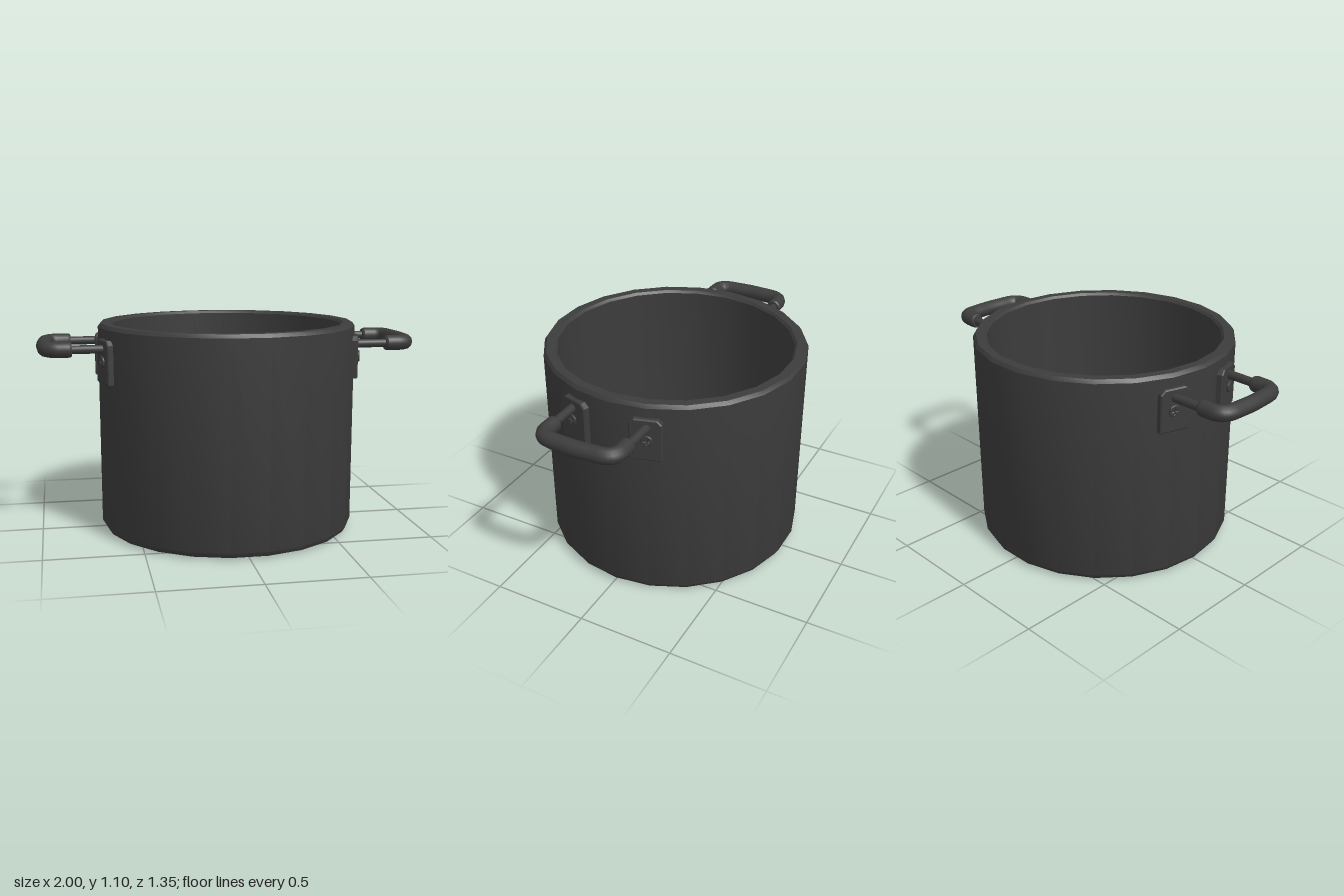
import * as THREE from 'three';
import { toCreasedNormals } from 'three/addons/utils/BufferGeometryUtils.js';

const dark = new THREE.MeshStandardMaterial({ color: 0x3c3c3c });
const SIDES = 22;
const STEP = (Math.PI * 2) / SIDES;
const HANDLE_Y = 0.99;
const ROD_Z = 0.2;

function part(name, geometry, parent) {
  const mesh = new THREE.Mesh(geometry, dark);
  mesh.name = name;
  parent.add(mesh);
  return mesh;
}

// Outer wall, rim and inside in one turned profile
function potBody() {
  const profile = [
    [0, 0], [0.635, 0], [0.665, 0.01], [0.68, 0.035],
    [0.68, 1.085], [0.667, 1.103], [0.622, 1.103], [0.61, 1.09],
    [0.61, 0.075], [0.59, 0.05], [0, 0.05],
  ].map(([r, y]) => new THREE.Vector2(r, y));
  return toCreasedNormals(new THREE.LatheGeometry(profile, SIDES, Math.PI / 2), 0.6);
}

// Upright plate with clipped top corners, facing +z
function plateGeometry() {
  const w = 0.075, c = 0.02;
  const shape = new THREE.Shape([
    [-w, 0.82], [w, 0.82], [w, 1.03 - c], [w - c, 1.03], [c - w, 1.03], [-w, 1.03 - c],
  ].map(([x, y]) => new THREE.Vector2(x, y)));
  return new THREE.ExtrudeGeometry(shape, {
    depth: 0.05, bevelThickness: 0.006, bevelSize: 0.006, bevelSegments: 1,
  });
}

// Round screw head with a cross-shaped recess
function screwGeometry() {
  const shape = new THREE.Shape().absarc(0, 0, 0.027, 0, Math.PI * 2, false);
  const a = 0.006, b = 0.019;
  shape.holes.push(new THREE.Path([
    [a, a], [a, b], [-a, b], [-a, a], [-b, a], [-b, -a],
    [-a, -a], [-a, -b], [a, -b], [a, -a], [b, -a], [b, a],
  ].map(([x, y]) => new THREE.Vector2(x, y))));
  const g = new THREE.ExtrudeGeometry(shape, {
    depth: 0.01, bevelThickness: 0.003, bevelSize: 0.003, bevelSegments: 1, curveSegments: 12,
  });
  return toCreasedNormals(g, 0.7);
}

function createHandle(name) {
  const handle = new THREE.Group();
  handle.name = name;

  // Bowed grip with rounded corners
  const half = [[0.83, 0.197], [0.87, 0.197], [0.905, 0.194], [0.935, 0.177], [0.95, 0.145], [0.956, 0.08]];
  const outline = [...half, [0.96, 0], ...half.map(([x, z]) => [x, -z]).reverse()];
  const path = new THREE.CatmullRomCurve3(outline.map(([x, z]) => new THREE.Vector3(x, HANDLE_Y, z)));
  part('grip', new THREE.TubeGeometry(path, 48, 0.04, 12, false), handle);

  for (const side of [1, -1]) {
    // Bevelled end of the grip
    const end = part('gripEnd', toCreasedNormals(new THREE.CylinderGeometry(0.04, 0.034, 0.01, 12), 0.6), handle);
    end.rotation.z = -Math.PI / 2;
    end.position.set(0.825, HANDLE_Y, side * 0.197);

    // Thin rod from plate to grip
    const rod = part('rod', new THREE.CylinderGeometry(0.022, 0.022, 0.2, 12), handle);
    rod.rotation.z = Math.PI / 2;
    rod.position.set(0.75, HANDLE_Y, side * ROD_Z);

    // Plate and screw, turned to follow the wall
    const mount = new THREE.Group();
    mount.name = 'mount';
    mount.rotation.y = Math.PI / 2 - side * STEP;
    handle.add(mount);
    part('plate', plateGeometry(), mount).position.z = 0.644;
    part('screw', screwGeometry(), mount).position.set(-side * 0.008, 0.925, 0.697);
  }
  return handle;
}

export function createModel() {
  const model = new THREE.Group();
  model.name = 'cookingPot';
  part('pot', potBody(), model);
  model.add(createHandle('leftHandle'));
  const right = createHandle('rightHandle');
  right.rotation.y = Math.PI;
  model.add(right);
  return model;
}
